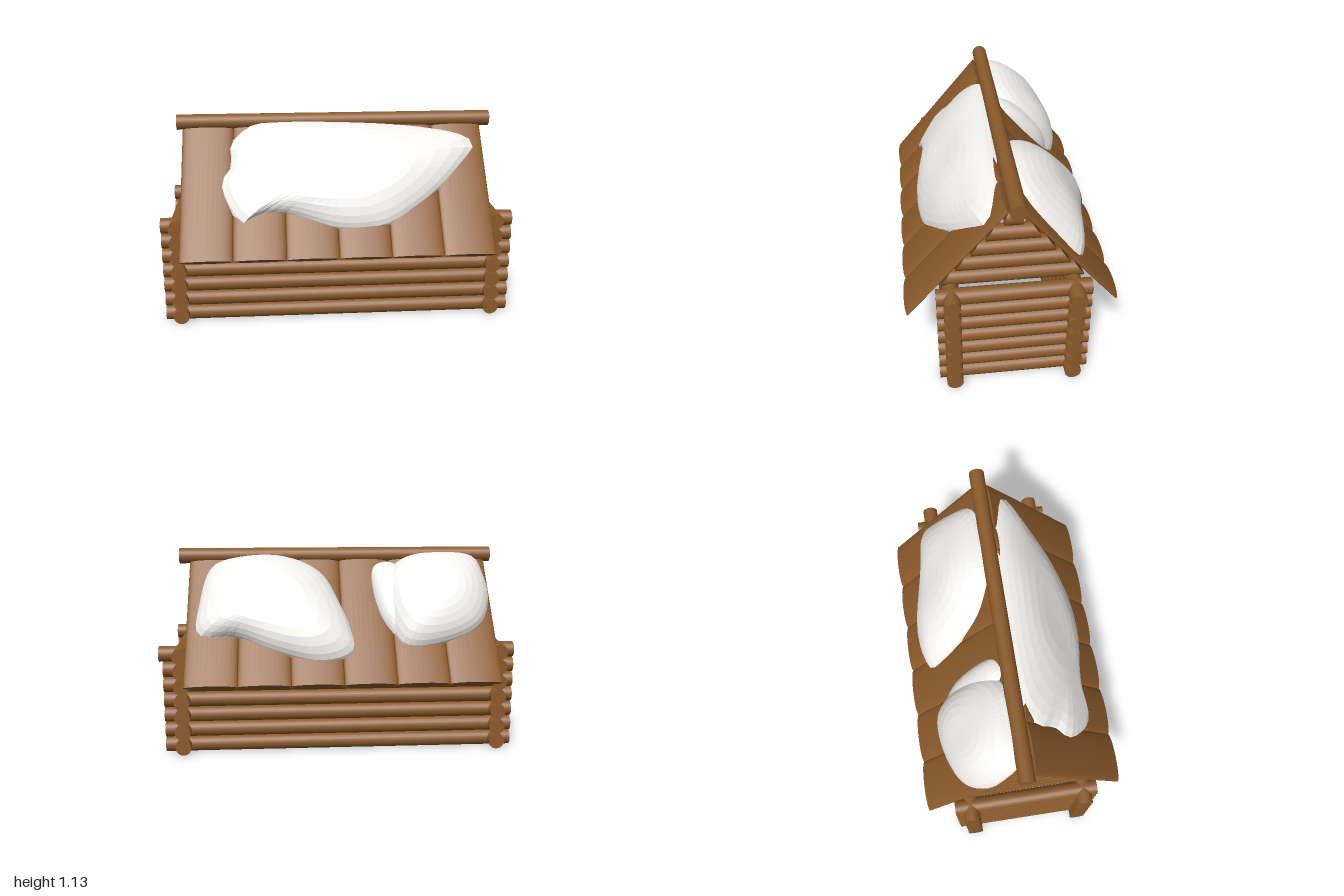
import * as THREE from 'three';

const R = 0.044;          // log radius
const STEP = 0.0877;      // height between stacked logs
const SLOPE = 1.18;       // roof drop per unit of depth
const RIDGE_Y = 1.065;    // top of the roof's middle plane
const RIDGE_Z = 0.02;

const wood = new THREE.MeshStandardMaterial({ color: 0x8b5a2b });
const snowMat = new THREE.MeshStandardMaterial({ color: 0xf4f2ee, flatShading: true, side: THREE.DoubleSide });

function add(parent, name, geometry, material = wood) {
  const mesh = new THREE.Mesh(geometry, material);
  mesh.name = name;
  parent.add(mesh);
  return mesh;
}

// Log lying along x from x0 to x1
function logX(parent, name, x0, x1, y, z) {
  const g = new THREE.CylinderGeometry(R, R, x1 - x0, 24).rotateZ(Math.PI / 2);
  add(parent, name, g).position.set((x0 + x1) / 2, y, z);
}

// Log lying along z, with its ends trimmed under the roof when asked
function logZ(parent, name, x, y, half, trim = false) {
  const g = new THREE.CylinderGeometry(R, R, 2 * half, 24).rotateX(Math.PI / 2);
  if (trim) {
    const p = g.attributes.position;
    for (let i = 0; i < p.count; i++) {
      const limit = Math.max(0.03, (RIDGE_Y - y - p.getY(i)) / SLOPE - 0.008);
      p.setZ(i, THREE.MathUtils.clamp(p.getZ(i), -limit, limit));
    }
  }
  add(parent, name, g).position.set(x, y, 0);
}

// Snow drift: a domed skin over a closed outline of [x, distance down the slope]
function snowDrift(outline, height, centre) {
  if (THREE.ShapeUtils.area(outline.map(([x, y]) => ({ x, y }))) > 0) outline = outline.slice().reverse();
  const curve = new THREE.CatmullRomCurve3(outline.map(([x, s]) => new THREE.Vector3(x, 0, s)), true);
  const n = 56, rings = 9, reach = 6;
  const rim = curve.getSpacedPoints(n).slice(0, n);
  // Rounded copy of the rim, so that notches fade towards the middle
  const soft = rim.map((_, i) => {
    const sum = new THREE.Vector3();
    for (let d = -reach; d <= reach; d++) sum.add(rim[(i + d + n) % n]);
    return sum.divideScalar(2 * reach + 1);
  });
  const middle = new THREE.Vector3(centre[0], 0, centre[1]);
  const pos = [], index = [];
  for (let k = 0; k <= rings; k++) {
    const t = Math.cos((k / rings) * Math.PI / 2);
    for (let i = 0; i < n; i++) {
      const edge = rim[i].clone().lerp(soft[i], Math.min(1, 2.5 * (1 - t)));
      const p = middle.clone().lerp(edge, t);
      const ripple = 1 + 0.05 * Math.sin(9 * p.x + 4 * p.z) * Math.cos(11 * p.z - 3 * p.x);
      pos.push(p.x, height * Math.pow(Math.max(0, 1 - t ** 3), 0.6) * ripple, p.z);
    }
  }
  for (let k = 0; k < rings; k++) {
    for (let i = 0; i < n; i++) {
      const j = (i + 1) % n, a = k * n, b = a + n;
      index.push(a + i, a + j, b + j);
      if (k < rings - 1) index.push(a + i, b + j, b + i);
    }
  }
  const g = new THREE.BufferGeometry();
  g.setAttribute('position', new THREE.Float32BufferAttribute(pos, 3));
  g.setIndex(index);
  g.computeVertexNormals();
  return g;
}

// One side of the roof; local z runs down the slope, local y points out of it
function roofSide(name, plankShift) {
  const side = new THREE.Group();
  side.name = name;
  side.position.set(0, RIDGE_Y, RIDGE_Z);
  side.rotation.x = Math.atan(SLOPE);
  const width = 0.288, start = 0.02, end = 0.826;
  for (let i = 0; i < 6; i++) {
    const g = new THREE.CylinderGeometry(1, 1, end - start, 32).rotateX(Math.PI / 2);
    g.scale(width / 2, 0.021, 1);
    add(side, 'roofPlank', g).position.set(plankShift + (i - 2.5) * width, 0, (start + end) / 2);
  }
  return side;
}

export function createModel() {
  const model = new THREE.Group();
  model.name = 'logCabin';

  // Walls of stacked logs crossing at the corners
  const walls = new THREE.Group();
  walls.name = 'walls';
  model.add(walls);
  for (let i = 0; i < 7; i++) {
    const y = 0.0445 + i * STEP;
    logX(walls, 'frontWallLog', -1, 0.98, y, 0.325);
    logX(walls, 'backWallLog', -1, i === 6 ? 1 : 0.98, y, -0.315);
    for (const x of [-0.91, 0.877]) logZ(walls, 'endWallLog', x, y, 0.403);
  }

  // Gables of shortening logs, set back under the roof
  const gables = new THREE.Group();
  gables.name = 'gables';
  model.add(gables);
  [0.372, 0.296, 0.216, 0.137, 0.046].forEach((half, i) => {
    for (const x of [-0.83, 0.79]) logZ(gables, 'gableLog', x, 0.632 + i * 0.0885, half, true);
  });

  // Roof planks and ridge
  const front = roofSide('frontRoof', -0.02);
  const back = roofSide('backRoof', 0.02);
  const backTurn = new THREE.Group();
  backTurn.name = 'backRoofTurn';
  backTurn.rotation.y = Math.PI;
  backTurn.add(back);
  model.add(front, backTurn);
  logX(model, 'ridgeLog', -0.92, 0.905, 1.085, -0.01);

  // Snow on the front, outlined by [x, height]
  const frontOutline = [
    [-0.5, 1.075], [-0.615, 0.98], [-0.61, 0.88], [-0.668, 0.8], [-0.63, 0.695], [-0.54, 0.605],
    [-0.47, 0.645], [-0.31, 0.655], [-0.18, 0.62], [-0.015, 0.578], [0.25, 0.588], [0.41, 0.658],
    [0.545, 0.738], [0.73, 0.88], [0.807, 0.963], [0.76, 1.005], [0.49, 1.055], [0, 1.085], [-0.34, 1.09],
  ].map(([x, y]) => [x, (1.078 - y) / 0.763]);
  add(front, 'frontSnow', snowDrift(frontOutline, 0.125, [0, 0.33]), snowMat);

  // Snow on the back, outlined by [x, depth]
  const fromDepth = (pts) => pts.map(([x, z]) => [-x, (z - 0.05) / 0.646]);
  const wide = fromDepth([
    [-0.085, 0.455], [0.085, 0.495], [0.353, 0.45], [0.567, 0.39], [0.78, 0.385], [0.78, 0.25],
    [0.727, 0.1], [0.647, 0.06], [0.3, 0.045], [0.085, 0.12], [-0.02, 0.26], [-0.075, 0.37],
  ]);
  const round = fromDepth([
    [-0.866, 0.134], [-0.877, 0.24], [-0.81, 0.35], [-0.61, 0.42], [-0.37, 0.435], [-0.3, 0.36],
    [-0.27, 0.25], [-0.29, 0.13], [-0.42, 0.05], [-0.61, 0.035], [-0.82, 0.05],
  ]);
  const small = fromDepth([
    [-0.353, 0.4], [-0.262, 0.34], [-0.205, 0.2], [-0.22, 0.09], [-0.315, 0.07], [-0.45, 0.15], [-0.45, 0.32],
  ]);
  add(back, 'wideBackSnow', snowDrift(wide, 0.15, [-0.38, 0.32]), snowMat);
  add(back, 'roundBackSnow', snowDrift(round, 0.15, [0.58, 0.29]), snowMat);
  add(back, 'smallBackSnow', snowDrift(small, 0.08, [0.33, 0.27]), snowMat);

  return model;
}
